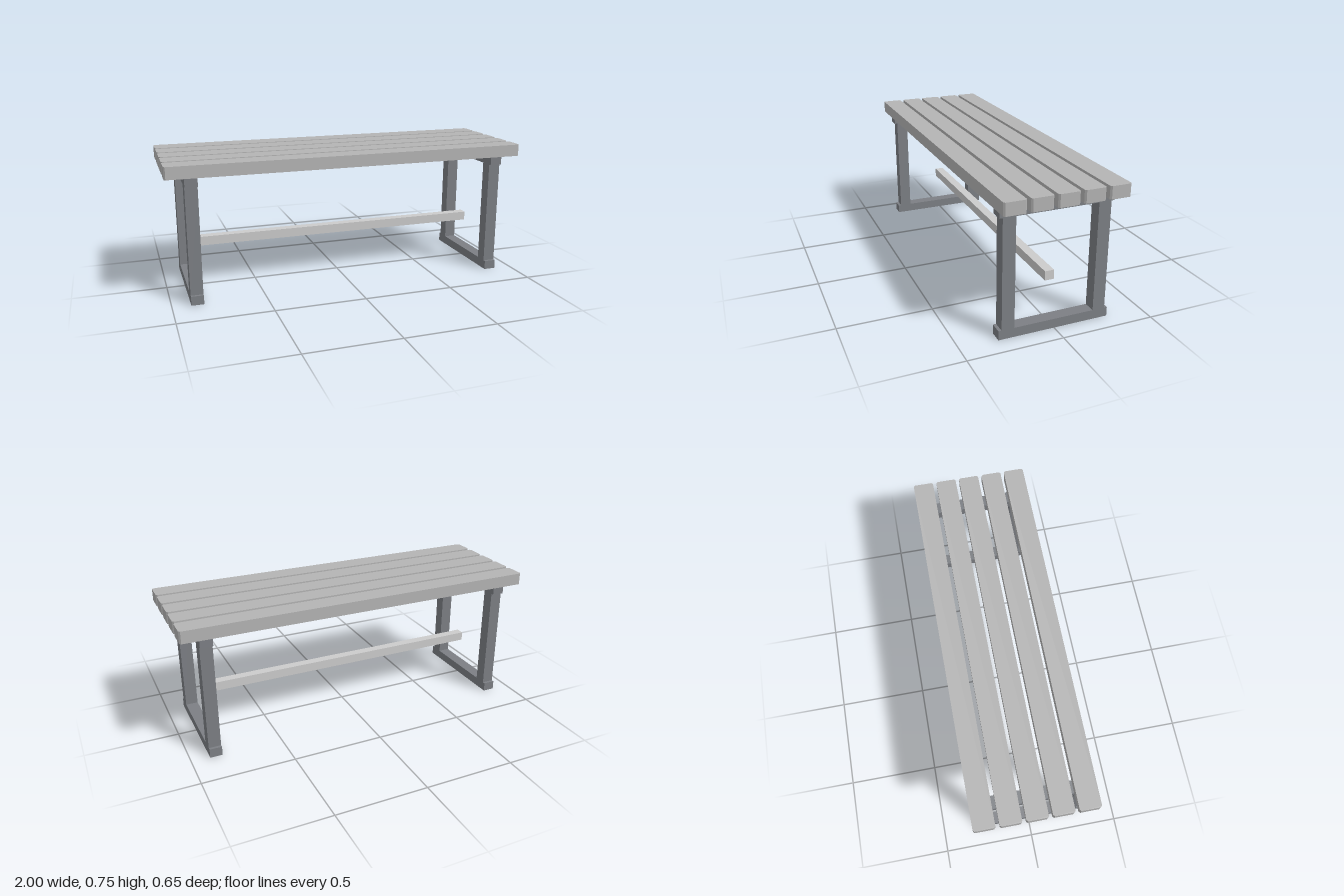
import * as THREE from 'three';

const material = (color) => new THREE.MeshStandardMaterial({ color, flatShading: true });

function box(name, w, h, d, x, y, z, mat) {
  const mesh = new THREE.Mesh(new THREE.BoxGeometry(w, h, d), mat);
  mesh.name = name;
  mesh.position.set(x, y, z);
  return mesh;
}

// Plank lying along x, its four upright corners chamfered
function plankGeometry(length, height, depth, c) {
  const a = length / 2, b = depth / 2;
  const outline = new THREE.Shape([
    [a, -b + c], [a, b - c], [a - c, b], [-a + c, b],
    [-a, b - c], [-a, -b + c], [-a + c, -b], [a - c, -b],
  ].map(([x, y]) => new THREE.Vector2(x, y)));
  return new THREE.ExtrudeGeometry(outline, { depth: height, bevelEnabled: false })
    .rotateX(-Math.PI / 2);
}

export function createModel() {
  const bench = new THREE.Group();
  bench.name = 'bench';
  const wood = material(0xb4b4b4);
  const steel = material(0x7c7f84);
  const bar = material(0xcccccc);

  // Seat: five spaced slats
  const seat = new THREE.Group();
  seat.name = 'seat';
  const plank = plankGeometry(2, 0.066, 0.113, 0.008);
  for (let i = -2; i <= 2; i++) {
    const slat = new THREE.Mesh(plank, wood);
    slat.name = `slat${i + 3}`;
    slat.position.set(0, 0.684, i * 0.1335);
    seat.add(slat);
  }
  bench.add(seat);

  // End frames: top and bottom rails joined by two legs
  const t = 0.067;
  for (const [side, s] of [['left', 1], ['right', -1]]) {
    const frame = new THREE.Group();
    frame.name = `${side}Frame`;
    frame.position.x = s * 0.867;
    frame.add(
      box('topRail', t, 0.05, 0.6, 0, 0.659, 0, steel),
      box('bottomRail', t, 0.05, 0.6, 0, 0.025, 0, steel),
      box('frontLeg', t, 0.584, t, 0, 0.342, 0.25, steel),
      box('backLeg', t, 0.584, t, 0, 0.342, -0.25, steel),
    );
    bench.add(frame);
  }

  // Stretcher spanning between the frames
  bench.add(box('stretcher', 1.667, 0.05, 0.05, 0, 0.259, 0, bar));
  return bench;
}
